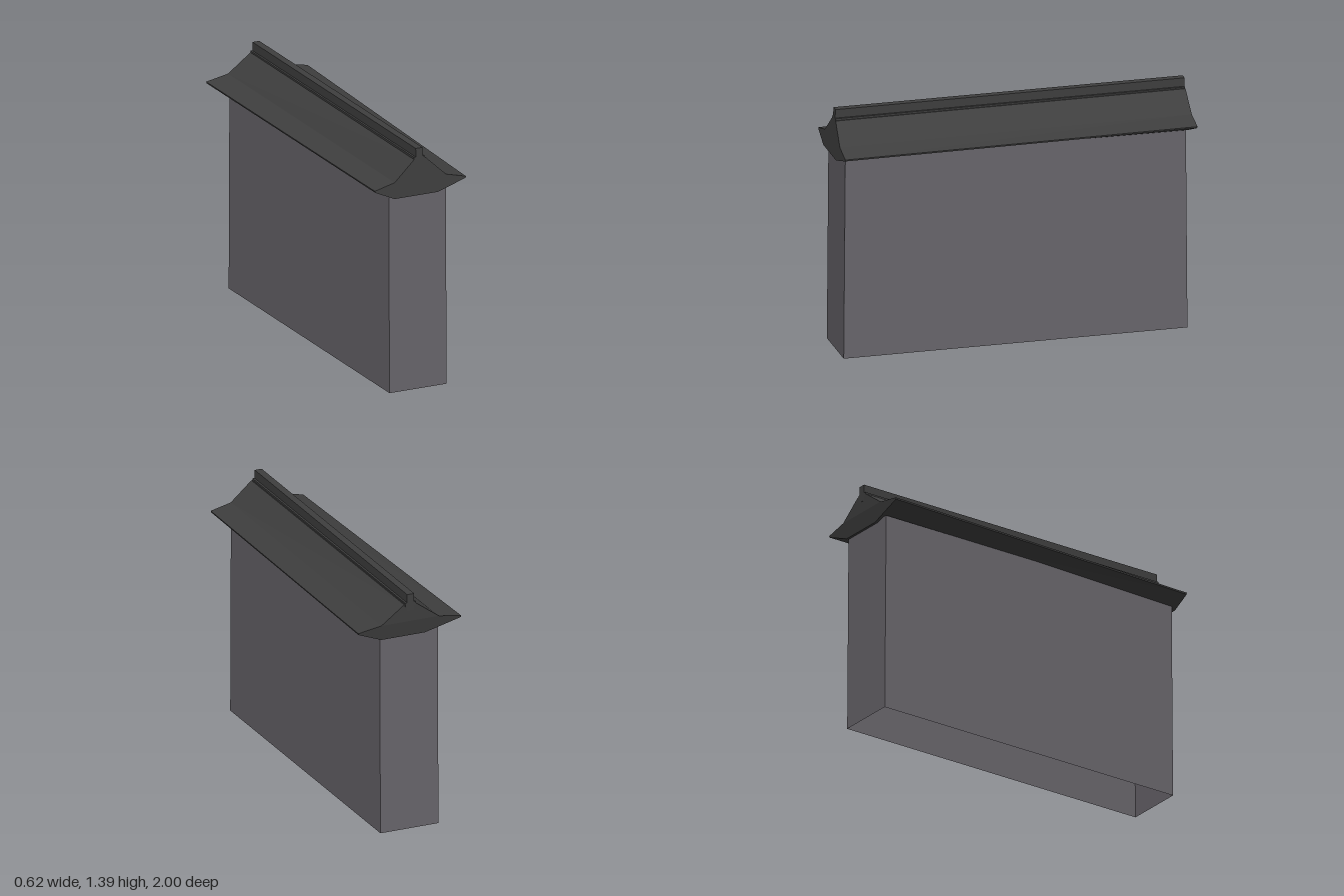
import * as THREE from 'three';

// Flat-faced solid between two matching outlines, listed anticlockwise seen from the first end
function loft(a, b, caps = true) {
  const pos = [];
  const n = a.length;
  const tri = (...pts) => pts.forEach((p) => pos.push(...p));
  for (let i = 0; i < n; i++) {
    const j = (i + 1) % n;
    tri(a[i], b[i], b[j]);
    tri(a[i], b[j], a[j]);
  }
  if (caps) {
    const cap = (ring, flip) => {
      const outline = ring.map((p) => new THREE.Vector2(p[0], p[1]));
      for (const [i, j, k] of THREE.ShapeUtils.triangulateShape(outline, [])) {
        if (flip) tri(ring[i], ring[k], ring[j]);
        else tri(ring[i], ring[j], ring[k]);
      }
    };
    cap(a, false);
    cap(b, true);
  }
  const geo = new THREE.BufferGeometry();
  geo.setAttribute('position', new THREE.Float32BufferAttribute(pos, 3));
  geo.computeVertexNormals();
  return geo;
}

// Leaning end planes of the roof
const frontZ = (y) => 1 - 0.02 * (y - 1.13) / 0.265;
const backZ = (y) => -0.98 - 0.02 * Math.min(1, (y - 1.145) / 0.1);
const place = (pts, zAt) => pts.map(([x, y]) => [x, y, zAt(y)]);

export function createModel() {
  const model = new THREE.Group();
  const stone = new THREE.MeshStandardMaterial({ color: 0x67646a, side: THREE.DoubleSide });
  stone.name = 'grey stone';
  const tile = new THREE.MeshStandardMaterial({ color: 0x3e3e3e });
  tile.name = 'dark roof tile';
  const add = (name, geo, mat) => {
    const mesh = new THREE.Mesh(geo, mat);
    mesh.name = name;
    model.add(mesh);
  };

  // Wall: four sides, open underneath, leaning in slightly at the ends
  const wallRing = (y, z) => [[-0.183, y, z], [0.167, y, z], [0.167, y, -z], [-0.183, y, -z]];
  add('wall', loft(wallRing(0, 0.975), wallRing(1.16, 0.966), false).scale(1, 1, 1), stone);
  const index = [];
  const count = model.children[0].geometry.attributes.position.count;
  for (let i = 0; i < count; i += 3) index.push(i, i + 2, i + 1);
  model.children[0].geometry.setIndex(index);
  model.children[0].geometry.computeVertexNormals();

  // Roof: swept eaves, wider and higher at the back
  const front = [
    [-0.165, 1.13], [0.1, 1.13], [0.273, 1.183], [0.275, 1.192], [0.155, 1.222],
    [0.035, 1.335], [-0.035, 1.335], [-0.16, 1.222], [-0.283, 1.192], [-0.281, 1.183],
  ];
  const back = [
    [-0.1, 1.145], [0.165, 1.145], [0.307, 1.203], [0.309, 1.212], [0.172, 1.236],
    [0.035, 1.338], [-0.035, 1.338], [-0.175, 1.236], [-0.312, 1.212], [-0.31, 1.203],
  ];
  add('roof', loft(place(front, frontZ), place(back, backZ)), tile);

  // Ridge: low base strip with a narrow cap
  const strip = (w, y0, y1) => {
    const pts = [[-w, y0], [w, y0], [w, y1], [-w, y1]].map(([x, y]) => [x - 0.004, y]);
    return loft(place(pts, frontZ), place(pts, backZ));
  };
  add('ridgeBase', strip(0.033, 1.325, 1.346), tile);
  add('ridgeCap', strip(0.021, 1.3, 1.395), tile);

  return model;
}
